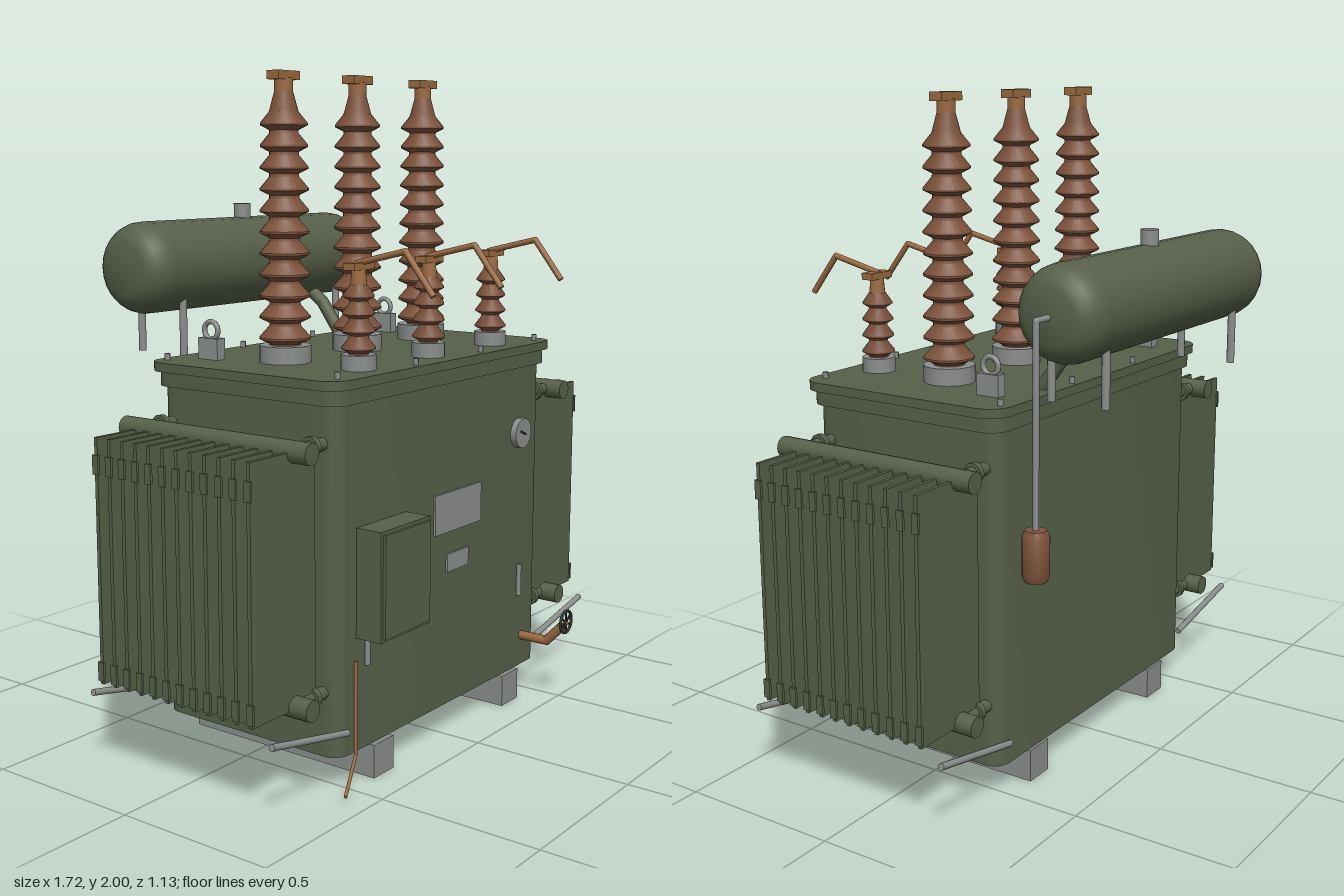
import * as THREE from 'three';
import { toCreasedNormals } from 'three/addons/utils/BufferGeometryUtils.js';

const paint = (name, color) => {
  const m = new THREE.MeshStandardMaterial({ color });
  m.name = name;
  return m;
};
const V = (x, y, z) => new THREE.Vector3(x, y, z);

export function createModel() {
  const green = paint('tankGreen', 0x566049);
  const steel = paint('steelGrey', 0x8a8e8c);
  const brown = paint('porcelainBrown', 0x7d523b);
  const copper = paint('copper', 0x9a6a40);
  const dark = paint('darkMetal', 0x2e322c);
  const root = new THREE.Group();
  root.name = 'powerTransformer';

  const add = (name, geo, mat, x = 0, y = 0, z = 0, parent = root) => {
    const m = new THREE.Mesh(geo, mat);
    m.name = name;
    m.position.set(x, y, z);
    parent.add(m);
    return m;
  };
  // box given by its limits
  const box = (name, mat, x0, x1, y0, y1, z0, z1, parent = root) =>
    add(name, new THREE.BoxGeometry(x1 - x0, y1 - y0, z1 - z0), mat,
      (x0 + x1) / 2, (y0 + y1) / 2, (z0 + z1) / 2, parent);
  // round bar between two points
  const rod = (name, mat, a, b, r, parent = root, sides = 12) => {
    const d = b.clone().sub(a);
    const m = add(name, new THREE.CylinderGeometry(r, r, d.length(), sides), mat, 0, 0, 0, parent);
    m.position.copy(a).add(b).multiplyScalar(0.5);
    m.quaternion.setFromUnitVectors(V(0, 1, 0), d.normalize());
    return m;
  };
  // bent bar through several points
  const bentRod = (name, mat, pts, r, parent = root) => {
    const g = new THREE.Group();
    g.name = name;
    parent.add(g);
    pts.slice(1).forEach((p, i) => {
      rod(name + 'Segment', mat, pts[i], p, r, g);
      if (i) add(name + 'Joint', new THREE.SphereGeometry(r, 12, 8), mat, pts[i].x, pts[i].y, pts[i].z, g);
    });
    return g;
  };
  const lathe = (pts, sides = 20) => toCreasedNormals(
    new THREE.LatheGeometry(pts.map(p => new THREE.Vector2(p[0], p[1])), sides), 0.7);
  // rounded rectangular slab, w by d, from y0 to y1
  const slab = (name, w, d, r, y0, y1) => {
    const s = new THREE.Shape(), a = w / 2, b = d / 2;
    s.moveTo(-a + r, -b).lineTo(a - r, -b);
    s.absarc(a - r, -b + r, r, -Math.PI / 2, 0);
    s.absarc(a - r, b - r, r, 0, Math.PI / 2);
    s.absarc(-a + r, b - r, r, Math.PI / 2, Math.PI);
    s.absarc(-a + r, -b + r, r, Math.PI, Math.PI * 1.5);
    const g = new THREE.ExtrudeGeometry(s, { depth: y1 - y0, bevelEnabled: false, curveSegments: 5 });
    g.rotateX(-Math.PI / 2);
    return add(name, toCreasedNormals(g, 0.6), green, 0, y0, 0.056);
  };

  // Tank, rim, lid and skids
  slab('tank', 1.1, 0.655, 0.05, 0.1, 1.12);
  slab('tankRim', 1.14, 0.68, 0.06, 1.1, 1.142);
  slab('lid', 1.18, 0.705, 0.07, 1.145, 1.172);
  slab('lidGasket', 1.12, 0.66, 0.06, 1.14, 1.147);
  for (const s of [-1, 1]) box('skid', steel, s * 0.353 - 0.048, s * 0.353 + 0.048, 0, 0.1, -0.28, 0.4);
  for (const z of [-0.275, 0.38]) for (const x of [-0.525, -0.175, 0.175, 0.525])
    add('lidBolt', new THREE.CylinderGeometry(0.009, 0.009, 0.02, 6), steel, x, 1.181, z * (Math.abs(x) > 0.5 ? 0.96 : 1));

  // Radiators, headers and braces on each side
  for (const s of [-1, 1]) {
    const rad = new THREE.Group();
    rad.name = s > 0 ? 'leftRadiator' : 'rightRadiator';
    root.add(rad);
    for (let i = 0; i < 12; i++) {
      const z = -0.225 + i * 0.0505;
      add('fin', new THREE.BoxGeometry(0.268, 0.715, 0.012), green, s * 0.723, 0.637, z, rad);
      for (const y of [0.317, 0.917])
        add('finTab', new THREE.BoxGeometry(0.008, 0.056, 0.022), green, s * 0.858, y, z, rad);
    }
    for (const y of [0.287, 0.993]) {
      rod('header', green, V(s * 0.677, y, -0.287), V(s * 0.677, y, 0.397), 0.031, rad, 16);
      for (const z of [-0.225, 0.33]) {
        rod('feedPipe', green, V(s * 0.54, y, z), V(s * 0.677, y, z), 0.019, rad);
        rod('pipeFlange', green, V(s * 0.588, y, z), V(s * 0.606, y, z), 0.029, rad, 16);
      }
    }
    for (const z of [-0.283, 0.387])
      rod('brace', steel, V(s * 0.51, 0.17, z), V(s * 0.84, 0.236, z), 0.01, rad);
  }

  // Ribbed insulator: stem with repeated sheds
  const insulator = (n, y0, y1, stem, rim, taper) => {
    const pts = [[0, y0], [stem, y0]], p = (y1 - y0) / n;
    for (let i = 0; i < n; i++) {
      const k = 1 - taper * i / n, y = y0 + i * p;
      pts.push([stem * k, y + p * 0.1], [rim * k, y + p * 0.32], [rim * k, y + p * 0.42], [stem * k, y + p * 0.95]);
    }
    pts.push([stem * (1 - taper), y1], [0, y1]);
    return lathe(pts);
  };
  for (const x of [-0.35, 0, 0.35]) {
    // Tall bushing
    const hv = new THREE.Group();
    hv.name = 'tallBushing';
    hv.position.set(x, 0, 0.04);
    root.add(hv);
    add('bushingBase', new THREE.CylinderGeometry(0.076, 0.076, 0.052, 20), steel, 0, 1.196, 0, hv);
    add('insulator', insulator(11, 1.22, 1.89, 0.046, 0.075, 0.1), brown, 0, 0, 0, hv);
    add('insulatorNeck', new THREE.CylinderGeometry(0.027, 0.042, 0.055, 16), brown, 0, 1.915, 0, hv);
    add('terminal', new THREE.CylinderGeometry(0.027, 0.027, 0.05, 16), copper, 0, 1.955, 0, hv);
    box('terminalPad', copper, -0.048, 0.048, 1.975, 2, -0.022, 0.022, hv);

    // Short bushing with bent lead
    const lv = new THREE.Group();
    lv.name = 'shortBushing';
    lv.position.set(x, 0, 0.305);
    root.add(lv);
    add('bushingBase', new THREE.CylinderGeometry(0.05, 0.05, 0.045, 20), steel, 0, 1.193, 0, lv);
    add('insulator', insulator(4, 1.215, 1.41, 0.029, 0.049, 0.12), brown, 0, 0, 0, lv);
    add('terminal', new THREE.CylinderGeometry(0.02, 0.024, 0.05, 16), copper, 0, 1.43, 0, lv);
    box('terminalPad', copper, -0.046, 0.046, 1.452, 1.472, -0.02, 0.02, lv);
    bentRod('lead', copper, [V(0, 1.468, -0.01), V(0, 1.508, 0.158), V(0, 1.39, 0.25)], 0.009, lv);
  }

  // Lifting lugs
  for (const s of [-1, 1]) {
    box('lug', steel, s * 0.437 - 0.017, s * 0.437 + 0.017, 1.17, 1.235, -0.207, -0.132);
    add('liftingRing', new THREE.TorusGeometry(0.026, 0.008, 8, 20), steel, s * 0.437, 1.257, -0.17).rotation.y = Math.PI / 2;
  }

  // Oil conservator drum, domed at both ends
  const drum = [];
  for (let i = 0; i <= 6; i++) {
    const t = i / 6 * Math.PI / 2;
    drum.push([0.06 * Math.min(i, 1) + 0.079 * Math.sin(t), -0.445 - 0.09 * Math.cos(t)]);
  }
  const drumPts = [...drum, ...drum.map(([r, y]) => [r, -y]).reverse()];
  add('conservator', lathe(drumPts, 24), green, -0.004, 1.43, -0.425).rotation.z = Math.PI / 2;
  add('fillerCap', new THREE.CylinderGeometry(0.027, 0.027, 0.06, 16), steel, 0, 1.582, -0.425);
  for (const x of [-0.38, 0.38]) for (const z of [-0.51, -0.335])
    rod('conservatorLeg', steel, V(x, 1.165, z), V(x, 1.34, z), 0.012);
  bentRod('oilPipe', green, [V(0.283, 1.165, -0.235), V(0.283, 1.275, -0.315), V(0.283, 1.34, -0.4)], 0.021);

  // Breather hanging beside the drum
  bentRod('breatherPipe', steel, [V(0.51, 1.43, -0.42), V(0.586, 1.43, -0.42), V(0.586, 0.85, -0.42)], 0.009);
  add('breather', lathe([[0, 0.717], [0.032, 0.717], [0.039, 0.735], [0.039, 0.845], [0.03, 0.862], [0, 0.862]]), brown, 0.586, 0, -0.42);

  // Control box with door and conduits
  box('controlBox', green, -0.465, -0.225, 0.433, 0.75, 0.375, 0.468);
  box('controlBoxDoor', green, -0.455, -0.235, 0.443, 0.74, 0.468, 0.477);
  rod('boxConduit', steel, V(-0.42, 0.345, 0.39), V(-0.42, 0.437, 0.39), 0.008);
  rod('levelTube', steel, V(0.415, 0.345, 0.39), V(0.415, 0.45, 0.39), 0.008);

  // Plates and dial gauge
  box('ratingPlate', steel, -0.08, 0.175, 0.645, 0.768, 0.382, 0.39);
  box('smallPlate', steel, -0.012, 0.105, 0.52, 0.576, 0.382, 0.39);
  add('gauge', new THREE.CylinderGeometry(0.048, 0.048, 0.025, 24), steel, 0.405, 0.887, 0.391).rotation.x = Math.PI / 2;
  const needle = add('gaugeNeedle', new THREE.BoxGeometry(0.035, 0.006, 0.004), dark, 0.402, 0.889, 0.405);
  needle.rotation.z = -0.4;

  // Earthing rod
  bentRod('earthRod', copper, [V(-0.475, 0.37, 0.39), V(-0.475, 0.095, 0.39), V(-0.603, 0.03, 0.45)], 0.005);

  // Drain valve and handwheel
  bentRod('drainValve', copper, [V(0.447, 0.2, 0.37), V(0.447, 0.2, 0.48), V(0.447, 0.258, 0.535)], 0.015);
  rod('valveStem', copper, V(0.447, 0.25, 0.53), V(0.447, 0.277, 0.553), 0.008);
  add('handwheel', new THREE.TorusGeometry(0.036, 0.005, 8, 20), dark, 0.447, 0.277, 0.55);
  for (const a of [0, 1, 2]) {
    const spoke = add('wheelSpoke', new THREE.BoxGeometry(0.07, 0.006, 0.005), dark, 0.447, 0.277, 0.55);
    spoke.rotation.z = a * Math.PI / 3 + Math.PI / 6;
  }
  return root;
}
